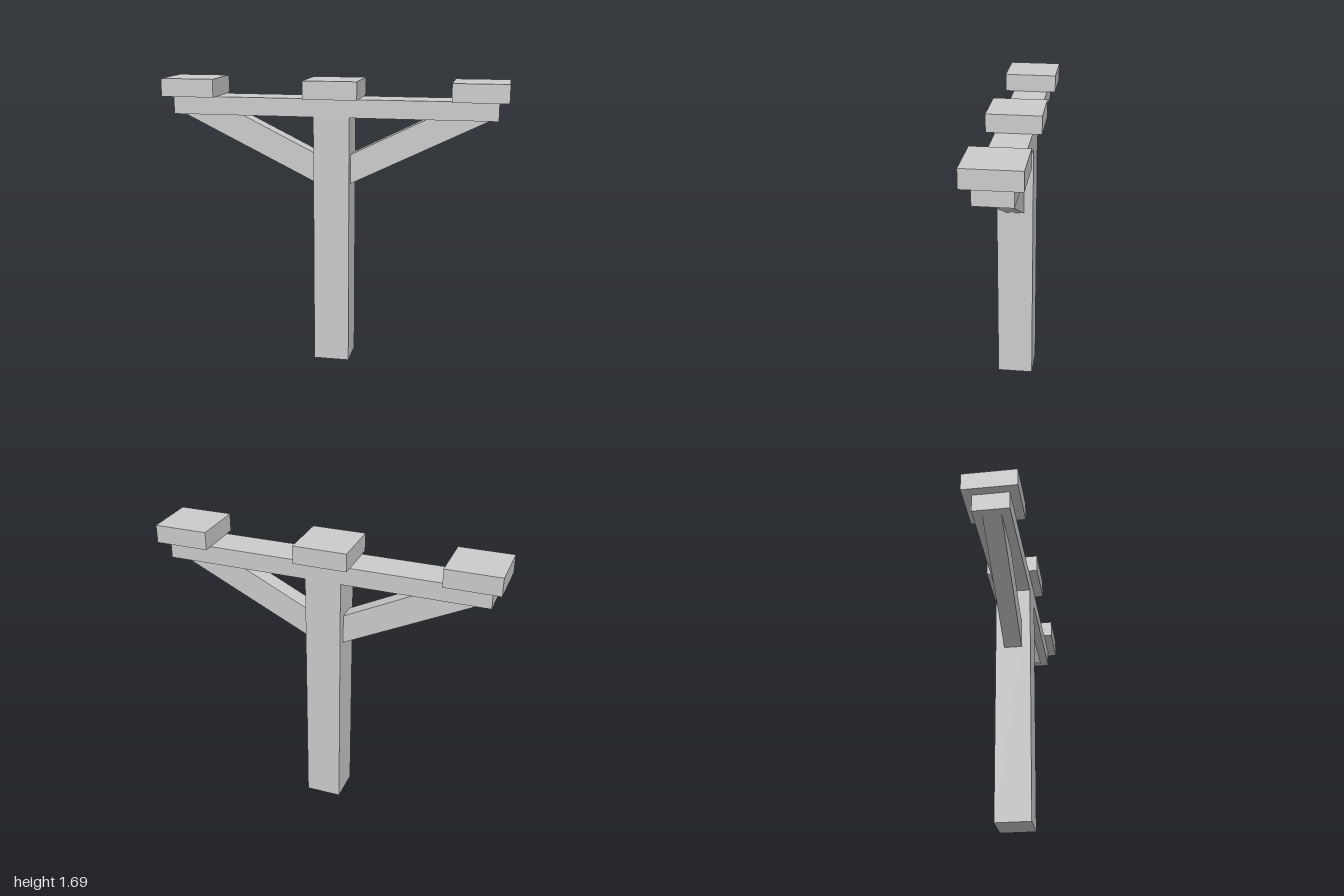
import * as THREE from 'three';

const material = new THREE.MeshStandardMaterial({ color: 0xcccccc, flatShading: true });

function addMesh(group, name, geometry) {
  const mesh = new THREE.Mesh(geometry, material);
  mesh.name = name;
  group.add(mesh);
  return mesh;
}

// Box resting with its underside at the given height
function addBlock(group, name, w, h, d, x, bottom) {
  addMesh(group, name, new THREE.BoxGeometry(w, h, d)).position.set(x, bottom + h / 2, 0);
}

export function createModel() {
  const model = new THREE.Group();
  model.name = 'timberPost';

  // Upright and crossbeam
  addBlock(model, 'post', 0.21, 1.477, 0.21, 0, 0);
  addBlock(model, 'crossbeam', 1.89, 0.105, 0.21, 0, 1.477);

  // Square bearing blocks on top of the beam
  const blocks = { rightBlock: -0.843, middleBlock: 0, leftBlock: 0.843 };
  for (const [name, x] of Object.entries(blocks)) {
    addBlock(model, name, 0.314, 0.105, 0.314, x, 1.582);
  }

  // Slanted braces, cut flush against the post and the beam
  const profile = new THREE.Shape([
    new THREE.Vector2(0.105, 1.086),
    new THREE.Vector2(0.905, 1.477),
    new THREE.Vector2(0.55, 1.477),
    new THREE.Vector2(0.105, 1.258),
  ]);
  const brace = new THREE.ExtrudeGeometry(profile, { depth: 0.106, bevelEnabled: false });
  brace.translate(0, 0, -0.053);
  addMesh(model, 'leftBrace', brace);
  addMesh(model, 'rightBrace', brace).rotation.y = Math.PI;

  return model;
}
